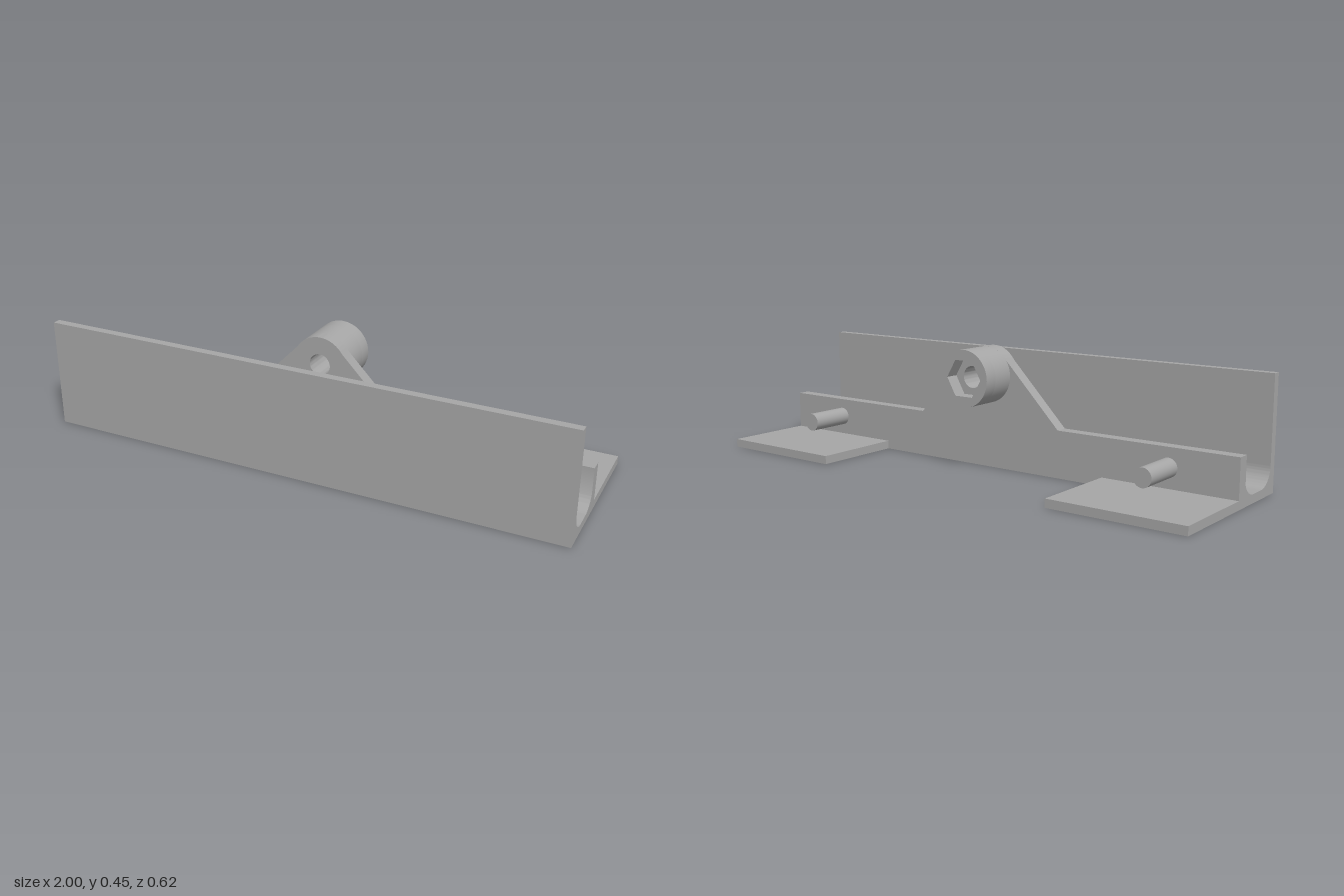
import * as THREE from 'three';
import { toCreasedNormals } from 'three/addons/utils/BufferGeometryUtils.js';

const LUG_Y = 0.345, LUG_R = 0.104, BORE_R = 0.04, HEX_R = 0.075;
const WALL_BACK = 0.037, WALL_FRONT = 0.083, WALL_TOP = 0.173;

export function createModel() {
  const model = new THREE.Group();
  model.name = 'bracket';
  const grey = new THREE.MeshStandardMaterial({ color: 0xa6a6a6 });
  grey.name = 'plain grey';

  const add = (name, geometry) => {
    const mesh = new THREE.Mesh(geometry, grey);
    mesh.name = name;
    model.add(mesh);
    return mesh;
  };
  const extrude = (shape, depth) => toCreasedNormals(
    new THREE.ExtrudeGeometry(shape, { depth, bevelEnabled: false, curveSegments: 24 }), 0.5);
  // Extrusion between two z positions
  const slab = (name, shape, z0, z1) => add(name, extrude(shape, z1 - z0).translate(0, 0, z0));

  // Channel: tall front wall, rounded trough and low back wall, drawn in z and y
  const r = 0.069, cy = 0.031 + r;
  const kink = Math.acos((0.147 - WALL_FRONT) / r);
  const profile = new THREE.Shape();
  profile.moveTo(WALL_BACK, 0);
  profile.lineTo(0.31, 0);
  profile.lineTo(0.31, 0.411);
  profile.lineTo(0.279, 0.411);
  profile.lineTo(0.279, cy);
  profile.absarc(0.21, cy, r, 0, -Math.PI / 2, true);
  profile.lineTo(0.147, 0.031);
  profile.absarc(0.147, cy, r, -Math.PI / 2, -Math.PI + kink, true);
  profile.lineTo(WALL_FRONT, WALL_TOP);
  profile.lineTo(WALL_BACK, WALL_TOP);
  profile.closePath();
  add('channel', extrude(profile, 2).rotateY(-Math.PI / 2).translate(1, 0, 0));

  const bore = () => new THREE.Path().absarc(0, LUG_Y, BORE_R, 0, Math.PI * 2, true);
  const disc = (hole) => {
    const shape = new THREE.Shape().absarc(0, LUG_Y, LUG_R, 0, Math.PI * 2, false);
    shape.holes.push(hole);
    return shape;
  };

  // Sloped lug plate rising from the back wall
  const a = Math.asin((0.402 - LUG_Y) / LUG_R);
  const lug = new THREE.Shape();
  lug.moveTo(-0.312, WALL_TOP);
  lug.lineTo(0.312, WALL_TOP);
  lug.absarc(0, LUG_Y, LUG_R, a, Math.PI - a, false);
  lug.closePath();
  lug.holes.push(bore());
  slab('lugPlate', lug, WALL_BACK, WALL_FRONT);

  // Boss with a round bore, then a hexagonal nut pocket at the back
  slab('boss', disc(bore()), -0.05, WALL_BACK);
  const hex = new THREE.Path();
  hex.setFromPoints(Array.from({ length: 7 }, (_, i) => new THREE.Vector2(
    HEX_R * Math.cos(i * Math.PI / 3), LUG_Y - HEX_R * Math.sin(i * Math.PI / 3))));
  slab('nutPocket', disc(hex), -0.102, -0.05);

  // Feet and locating pegs on both sides
  for (const [side, s] of [['left', 1], ['right', -1]]) {
    const depth = WALL_BACK + 0.31;
    add(side + 'Foot', new THREE.BoxGeometry(0.505, 0.031, depth))
      .position.set(s * 0.7475, 0.0155, WALL_BACK - depth / 2);
    const length = WALL_BACK + 0.137;
    add(side + 'Peg', new THREE.CylinderGeometry(0.034, 0.034, length, 32).rotateX(Math.PI / 2))
      .position.set(s * 0.748, 0.103, WALL_BACK - length / 2);
  }
  return model;
}
